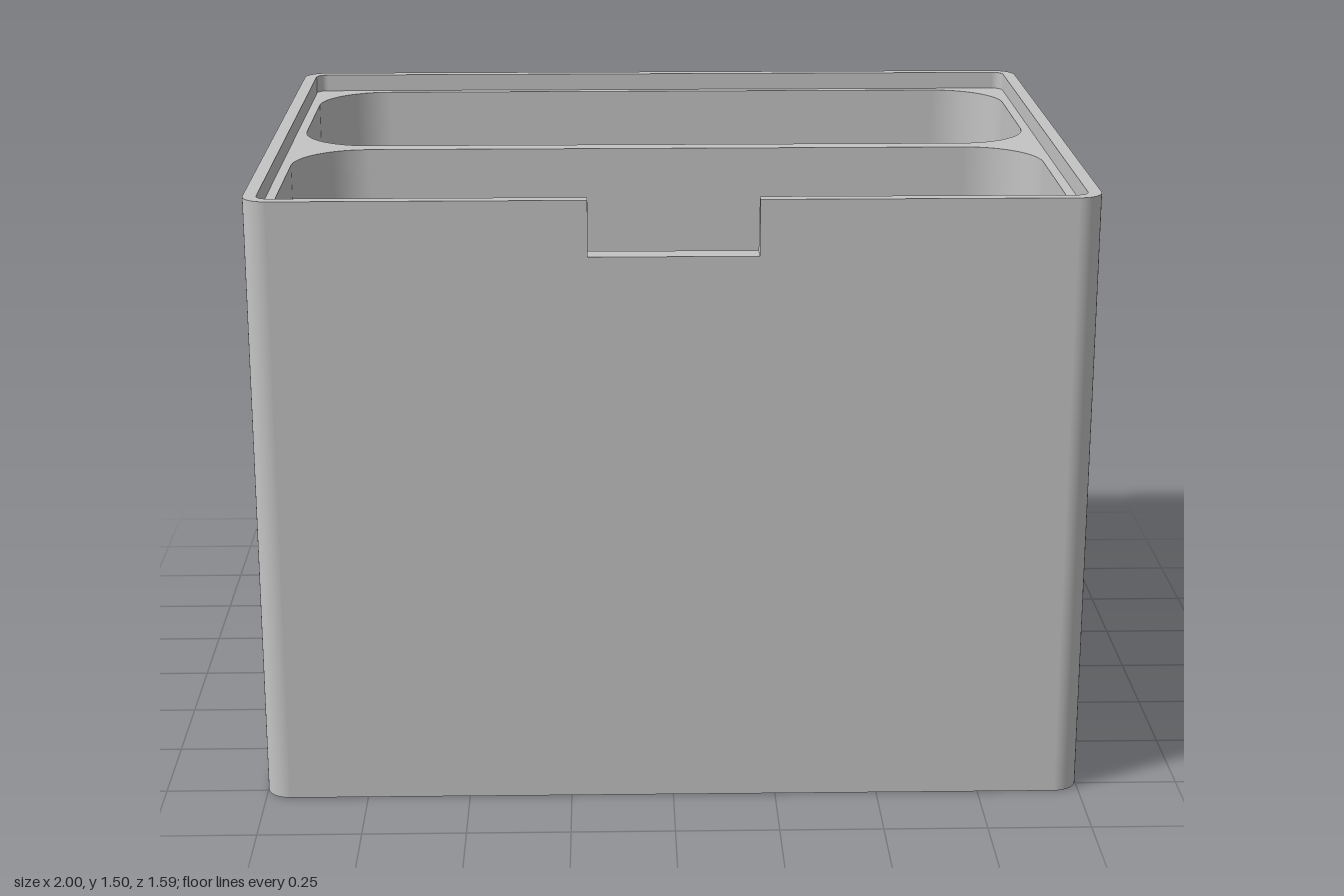
import * as THREE from 'three';

const TOP = 1.5, LEDGE = 1.455, SILL = 1.365, FLOOR = 0.055; // heights
const NOTCH = 0.2;                                           // half width of the notch
const FILLET = 0.18;                                         // pocket corner and floor radius

// Rounded rectangle as core points plus outward directions; the front side can carry the notch
function makeRing(hx, hz, cz, r, notched) {
  const pts = [], n = 12;
  [[1, 1], [-1, 1], [-1, -1], [1, -1]].forEach(([sx, sz], k) => {
    for (let i = 0; i <= n; i++) {
      const t = (k + i / n) * Math.PI / 2;
      pts.push({ x: sx * (hx - r), z: cz + sz * (hz - r), dx: Math.cos(t), dz: Math.sin(t) });
    }
    if (k === 0 && notched) {
      const z = cz + hz - r;
      pts.push({ x: NOTCH, z, dx: 0, dz: 1, notch: true }, { x: -NOTCH, z, dx: 0, dz: 1 });
    }
  });
  return { pts, r };
}

// Wall through levels [radius, y, tilt]; the segment across the notch stops at the sill
function wall(ring, levels, inward) {
  const pos = [], nor = [], s = inward ? -1 : 1;
  const put = (p, [rad, y, a], cut) => {
    pos.push(p.x + rad * p.dx, cut ? Math.min(y, SILL) : y, p.z + rad * p.dz);
    nor.push(s * p.dx * Math.cos(a), Math.sin(a), s * p.dz * Math.cos(a));
  };
  ring.pts.forEach((p, i) => {
    const q = ring.pts[(i + 1) % ring.pts.length];
    for (let j = 0; j + 1 < levels.length; j++) {
      const lo = levels[j], hi = levels[j + 1];
      if (p.notch && lo[1] >= SILL) continue;
      const quad = [[p, lo], [q, lo], [q, hi], [p, lo], [q, hi], [p, hi]];
      const order = inward ? [0, 1, 2, 3, 4, 5] : [0, 2, 1, 3, 5, 4];
      order.forEach(k => put(quad[k][0], quad[k][1], p.notch));
    }
  });
  const g = new THREE.BufferGeometry();
  g.setAttribute('position', new THREE.Float32BufferAttribute(pos, 3));
  g.setAttribute('normal', new THREE.Float32BufferAttribute(nor, 3));
  return g;
}

// Ring outline in plan, with z negated so that the face turns upwards
const plan = ring => ring.pts.map(p =>
  new THREE.Vector2(p.x + ring.r * p.dx, -(p.z + ring.r * p.dz)));

// Band between two notched rings, open across the notch
function openBand(outer, inner) {
  const unroll = ring => {
    const i = ring.pts.findIndex(p => p.notch) + 1, v = plan(ring);
    return [...v.slice(i), ...v.slice(0, i)];
  };
  return new THREE.Shape([...unroll(outer), ...unroll(inner).reverse()]);
}

const faceUp = (shape, y) =>
  new THREE.ShapeGeometry(shape).rotateX(-Math.PI / 2).translate(0, y, 0);

export function createModel() {
  const group = new THREE.Group();
  const grey = new THREE.MeshStandardMaterial({ color: 0xc4c4c4 });
  grey.name = 'grey';
  const add = (name, geometry) => {
    const mesh = new THREE.Mesh(geometry, grey);
    mesh.name = name;
    group.add(mesh);
  };

  const outer = makeRing(1, 0.794, 0, 0.06, true);
  const rim = makeRing(0.968, 0.763, 0, 0.028, true);
  const hx = 0.944, hz = 0.357, cz = 0.381;
  const front = makeRing(hx, hz, cz, FILLET, true);
  const back = makeRing(hx, hz, -cz, FILLET, false);

  // Outside of the box
  add('outerWall', wall(outer, [[outer.r, 0, 0], [outer.r, TOP, 0]], false));
  add('base', new THREE.ShapeGeometry(new THREE.Shape(plan(outer))).rotateX(Math.PI / 2));

  // Raised rim and the recessed ledge inside it
  add('rimTop', faceUp(openBand(outer, rim), TOP));
  add('rimInside', wall(rim, [[rim.r, LEDGE, 0], [rim.r, TOP, 0]], true));
  const ledge = openBand(rim, front);
  ledge.holes.push(new THREE.Path(plan(back)));
  add('ledge', faceUp(ledge, LEDGE));

  // Two pockets with rounded floors
  const levels = [];
  for (let i = 0; i <= 12; i++) {
    const a = (1 - i / 12) * Math.PI / 2;
    levels.push([FILLET * Math.cos(a), FLOOR + FILLET * (1 - Math.sin(a)), a]);
  }
  levels.push([FILLET, LEDGE, 0]);
  [['front', front, cz], ['back', back, -cz]].forEach(([name, ring, z]) => {
    add(name + 'Pocket', wall(ring, levels, true));
    add(name + 'PocketFloor', new THREE.PlaneGeometry(2 * (hx - FILLET), 2 * (hz - FILLET))
      .rotateX(-Math.PI / 2).translate(0, FLOOR, z));
  });

  // Notch in the front wall: sill and two stepped cheeks
  const zIn = cz + hz, zOut = 0.794;
  add('notchSill', new THREE.PlaneGeometry(2 * NOTCH, zOut - zIn)
    .rotateX(-Math.PI / 2).translate(0, SILL, (zIn + zOut) / 2));
  for (const s of [1, -1]) {
    const cheek = new THREE.Shape([[zIn, SILL], [zOut, SILL], [zOut, TOP], [0.763, TOP],
      [0.763, LEDGE], [zIn, LEDGE]].map(([z, y]) => new THREE.Vector2(s * z, y)));
    add(s > 0 ? 'notchCheekLeft' : 'notchCheekRight',
      new THREE.ShapeGeometry(cheek).rotateY(-s * Math.PI / 2).translate(s * NOTCH, 0, 0));
  }
  return group;
}
